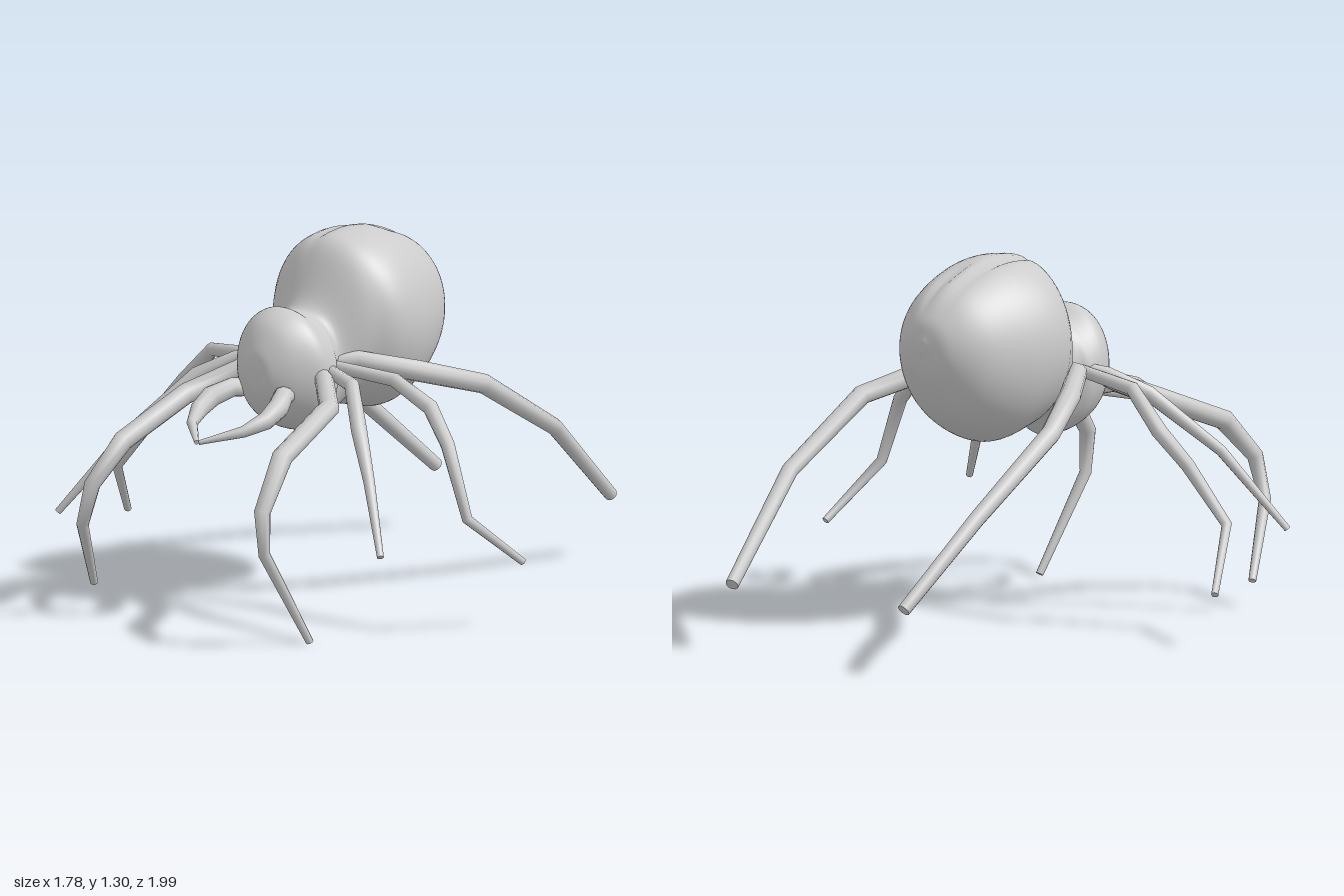
import * as THREE from 'three';

const material = new THREE.MeshStandardMaterial({ color: 0xcccccc, roughness: 0.8 });

// Points around an ellipse spanned by u and v
const ellipse = (centre, u, v, sides) => Array.from({ length: sides }, (_, j) => {
  const a = (j / sides) * Math.PI * 2;
  return centre.clone().addScaledVector(u, Math.cos(a)).addScaledVector(v, Math.sin(a));
});

// Skin a list of rings, counter-clockwise about the path, and cap both ends
function skin(name, rings) {
  const n = rings[0].length, last = rings.length - 1, index = [];
  for (let i = 0; i < last; i++) {
    for (let j = 0; j < n; j++) {
      const a = i * n + j, b = i * n + ((j + 1) % n);
      index.push(a, b, b + n, a, b + n, a + n);
    }
  }
  const start = (last + 1) * n, end = start + n;
  for (let j = 1; j < n - 1; j++) {
    index.push(start, start + j + 1, start + j, end, end + j, end + j + 1);
  }
  const geo = new THREE.BufferGeometry().setFromPoints([...rings, rings[0], rings[last]].flat());
  geo.setIndex(index);
  geo.computeVertexNormals();
  const mesh = new THREE.Mesh(geo, material);
  mesh.name = name;
  return mesh;
}

// Jointed limb: straight tapering segments with mitred knees
function limb(name, radius, tip, path) {
  const pts = path.map((p) => new THREE.Vector3(...p));
  const last = pts.length - 1;
  const dir = (i) => pts[i + 1].clone().sub(pts[i]).normalize();
  const u = new THREE.Vector3(0, 1, 0);
  return skin(name, pts.map((p, i) => {
    const t = dir(Math.max(i - 1, 0)).add(dir(Math.min(i, last - 1))).normalize();
    u.addScaledVector(t, -u.dot(t)).normalize();
    const f = i / last;
    const r = f < 0.5
      ? radius * Math.min(1, 0.8 + f * 0.6)
      : THREE.MathUtils.lerp(radius, tip, f * 2 - 1);
    const v = t.cross(u).multiplyScalar(r);
    return ellipse(p, u.clone().multiplyScalar(r), v, 10);
  }));
}

// Abdomen, waist and head as one smooth skin with two creases along the back
function body() {
  // z, bottom, top, half width
  const sections = [
    [-0.392, 1.02, 1.06, 0.015], [-0.365, 0.9, 1.14, 0.11], [-0.27, 0.75, 1.235, 0.205],
    [-0.1, 0.66, 1.3, 0.27], [0.05, 0.685, 1.305, 0.28], [0.15, 0.705, 1.265, 0.225],
    [0.24, 0.635, 1.09, 0.158], [0.3, 0.635, 1.055, 0.188], [0.38, 0.66, 1.085, 0.187],
    [0.46, 0.71, 1.045, 0.13], [0.508, 0.79, 0.96, 0.065], [0.52, 0.86, 0.9, 0.015],
  ];
  const spline = (pick) => new THREE.CatmullRomCurve3(
    sections.map((s) => new THREE.Vector3(...pick(s))), false, 'catmullrom');
  const heights = spline(([z, bottom, top]) => [z, bottom, top]);
  const widths = spline(([z, , , width]) => [width, 0, z]);
  const crease = (p, x, z, reach) =>
    0.018 * Math.max(0, 1 - ((p.z - z) / reach) ** 2) * Math.exp(-(((p.x - x) / 0.018) ** 2));
  const steps = 72;
  return skin('body', Array.from({ length: steps + 1 }, (_, i) => {
    const { x: z, y: bottom, z: top } = heights.getPoint(i / steps);
    const centre = new THREE.Vector3(0.023, (bottom + top) / 2, z);
    const u = new THREE.Vector3(widths.getPoint(i / steps).x, 0, 0);
    const ring = ellipse(centre, u, new THREE.Vector3(0, (top - bottom) / 2, 0), 64);
    ring.filter((p) => p.y > centre.y).forEach((p) => {
      p.y -= crease(p, -0.03, -0.08, 0.28) + crease(p, 0.055, -0.23, 0.13);
    });
    return ring;
  }));
}

export function createModel() {
  const model = new THREE.Group();
  model.name = 'spider';
  model.add(body());

  // Every leg grows from a hip inside the body; the pose differs on each side
  const leg = (name, radius, tip, hipZ, left, right) => model.add(
    limb(`left${name}`, radius, tip, [[0.14, 0.88, hipZ], ...left]),
    limb(`right${name}`, radius, tip, [[-0.1, 0.88, hipZ], ...right]));

  leg('FrontLeg', 0.037, 0.014, 0.34,
    [[0.22, 0.85, 0.38], [0.34, 0.79, 0.5], [0.375, 0.67, 0.8],
      [0.4, 0.5, 0.94], [0.41, 0.35, 0.94], [0.45, 0.012, 0.74]],
    [[-0.18, 0.83, 0.39], [-0.28, 0.76, 0.53], [-0.31, 0.64, 0.84],
      [-0.35, 0.5, 0.96], [-0.39, 0.35, 0.965], [-0.49, 0.1, 0.78]]);
  leg('SecondLeg', 0.028, 0.012, 0.3,
    [[0.34, 0.85, 0.375], [0.46, 0.72, 0.48], [0.57, 0.57, 0.56], [0.72, 0.34, 0.68]],
    [[-0.21, 0.865, 0.33], [-0.33, 0.8, 0.41], [-0.5, 0.59, 0.6], [-0.69, 0.315, 0.735]]);
  leg('ThirdLeg', 0.028, 0.013, 0.28,
    [[0.43, 0.86, 0.25], [0.58, 0.78, 0.235], [0.7, 0.67, 0.285],
      [0.82, 0.43, 0.325], [0.873, 0.245, 0.085]],
    [[-0.4, 0.85, 0.24], [-0.54, 0.72, 0.22], [-0.62, 0.6, 0.28],
      [-0.76, 0.4, 0.325], [-0.88, 0.195, 0.12]]);
  leg('BackLeg', 0.038, 0.024, 0.25,
    [[0.22, 0.89, 0.19], [0.37, 0.85, 0.05], [0.48, 0.78, -0.18],
      [0.495, 0.565, -0.55], [0.39, 0.235, -0.985]],
    [[-0.2, 0.89, 0.18], [-0.32, 0.85, 0], [-0.425, 0.76, -0.23],
      [-0.42, 0.515, -0.62], [-0.375, 0.235, -0.96]]);

  // Feelers curl in to meet in front of the head
  const feeler = [[0.08, 0.79, 0.4], [0.115, 0.8, 0.49], [0.15, 0.775, 0.56],
    [0.15, 0.74, 0.63], [0.115, 0.71, 0.71], [0.005, 0.675, 0.82]];
  [['leftFeeler', 1], ['rightFeeler', -1]].forEach(([name, side]) => {
    model.add(limb(name, 0.038, 0.008, feeler.map(([x, y, z]) => [side * x + 0.01, y, z])));
  });
  return model;
}
